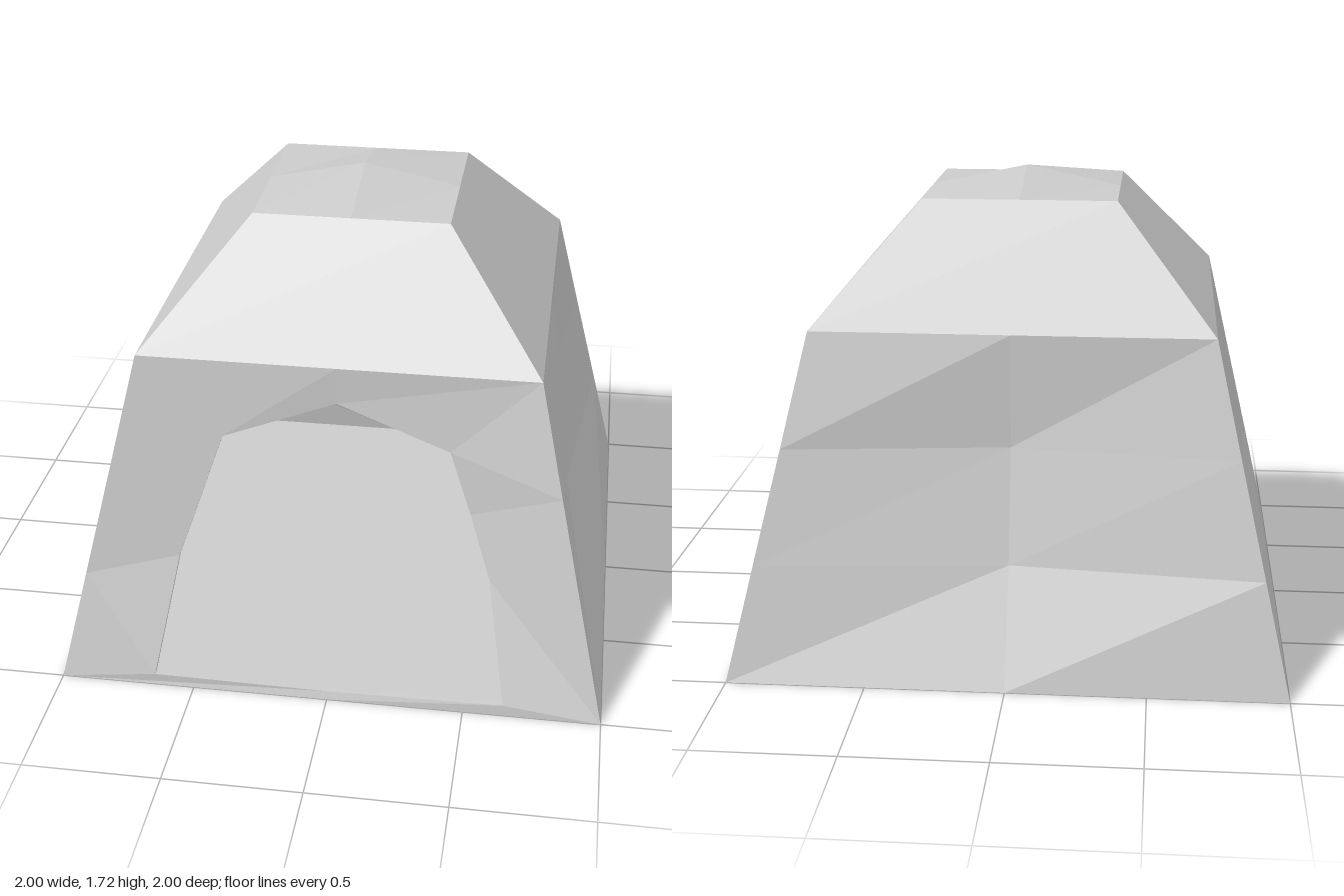
import * as THREE from 'three';

const material = new THREE.MeshStandardMaterial({
  color: 0xcccccc, flatShading: true, side: THREE.DoubleSide,
});

// Faceted sheet through rows of points; rows go up, columns go right, seen from outside
function sheet(name, rows) {
  const pos = [];
  for (let r = 0; r < rows.length - 1; r++) {
    for (let c = 0; c < rows[r].length - 1; c++) {
      const a = rows[r][c], b = rows[r][c + 1];
      const d = rows[r + 1][c + 1], e = rows[r + 1][c];
      pos.push(...a, ...b, ...d, ...a, ...d, ...e);
    }
  }
  const geo = new THREE.BufferGeometry();
  geo.setAttribute('position', new THREE.Float32BufferAttribute(pos, 3));
  geo.computeVertexNormals();
  const mesh = new THREE.Mesh(geo, material);
  mesh.name = name;
  return mesh;
}

// Wall levels: height, half width at the corners, depth at the sagging middle
const LEVELS = [[0, 1, 1], [0.41, 0.907, 0.82], [0.82, 0.813, 0.722], [1.23, 0.72, 0.72]];
const EAVE = [1.23, 0.72], CREST = [1.645, 0.357], PEAK = 1.72;

export function createModel() {
  const tent = new THREE.Group();
  tent.name = 'tent';

  // Right, back and left walls, pulled inward along their middle
  const wallRows = LEVELS.map(([y, h, m]) => [[-h, y, h], [0, y, m], [h, y, h]]);
  ['leftWall', 'backWall', 'rightWall'].forEach((name, i) => {
    const wall = sheet(name, wallRows);
    wall.rotation.y = (i + 1) * Math.PI / 2;
    tent.add(wall);
  });

  // Front wall: a band between the wall outline and the doorway, right half then mirrored
  const mirrorLoop = (half) => [
    ...half,
    ...half.slice(0, -1).reverse().map(([x, y, z]) => [-x, y, z]),
  ];
  const outline = mirrorLoop([
    [0, 0, 1], ...LEVELS.map(([y, h]) => [h, y, h]), [0, 1.23, 0.72],
  ]);
  const doorway = mirrorLoop([
    [0, 0.03, 0.99], [0.645, 0.043, 0.997], [0.57, 0.47, 0.83],
    [0.49, 0.705, 0.772], [0.41, 0.94, 0.745], [0, 1.09, 0.718],
  ]);
  tent.add(sheet('frontWall', [outline, doorway]));

  // Narrow hem turned in around the doorway
  const hem = doorway.map(([x, y, z]) => [x, y, z - 0.02]);
  tent.add(sheet('doorHem', [doorway, hem]));

  // Four sloping roof panels
  const roofRows = [EAVE, CREST].map(([y, h]) => [[-h, y, h], [h, y, h]]);
  for (let i = 0; i < 4; i++) {
    const panel = sheet('roofPanel', roofRows);
    panel.rotation.y = i * Math.PI / 2;
    tent.add(panel);
  }

  // Shallow peaked cap
  const [capY, capH] = CREST;
  tent.add(sheet('roofCap', [1, 0, -1].map((z) => [-1, 0, 1].map((x) =>
    [x * capH, x === 0 && z === 0 ? PEAK : capY, z * capH]))));

  // Ground sheet, facing down
  tent.add(sheet('groundSheet', [-1, 1].map((z) => [[-1, 0, z], [1, 0, z]])));

  return tent;
}
